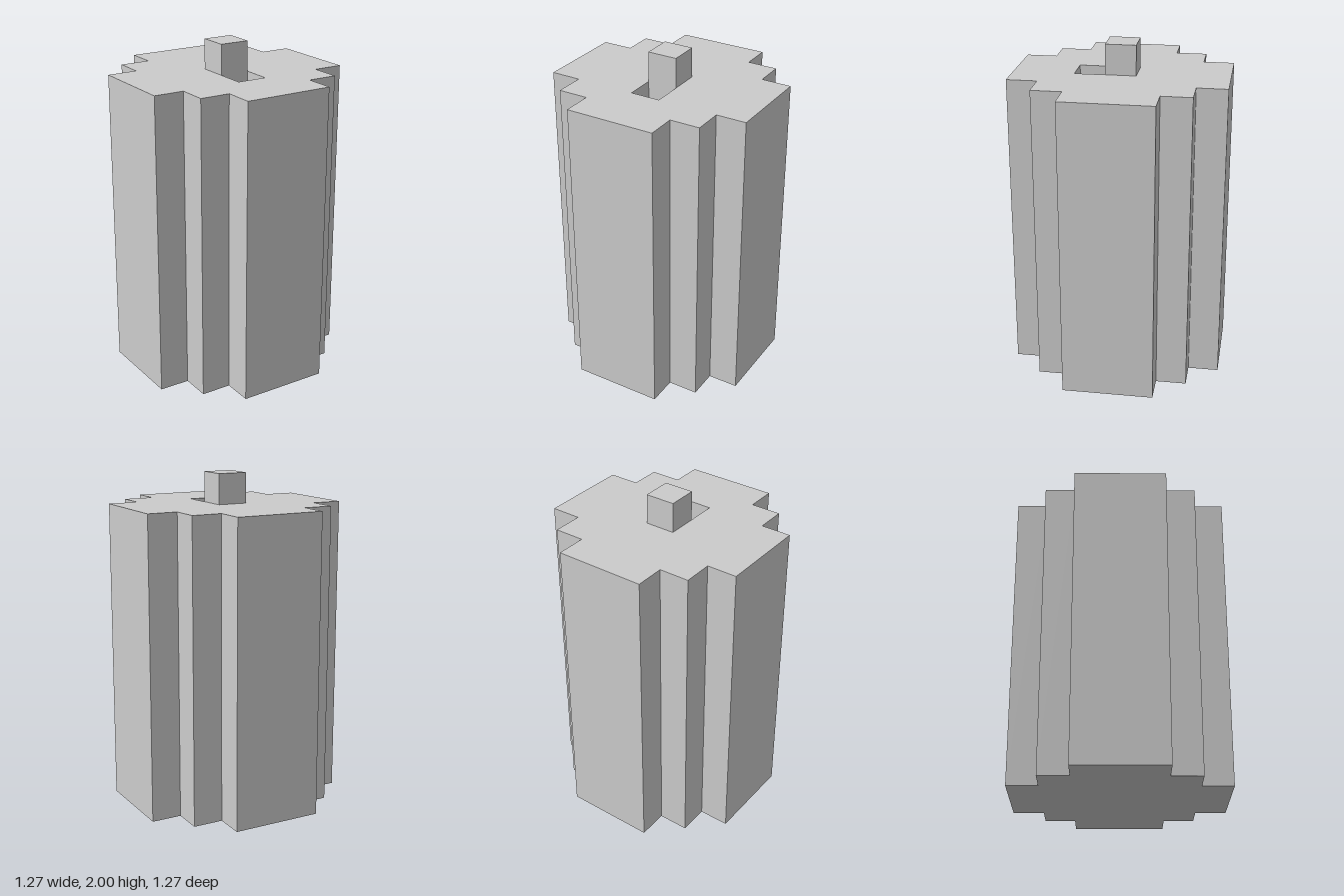
import * as THREE from 'three';
import { mergeGeometries } from 'three/addons/utils/BufferGeometryUtils.js';

const U = 2 / 11; // one block of the grid

// Plan points are [x, -z] in blocks, counter-clockwise from above.
const rect = (x0, z0, x1, z1) => [[x0, -z1], [x1, -z1], [x1, -z0], [x0, -z0]];
const vectors = (pts) => pts.map(([x, y]) => new THREE.Vector2(x * U, y * U));

// Flat face at height y, facing up or down
function cap(pts, y, { hole, down = false } = {}) {
  const shape = new THREE.Shape(vectors(pts));
  if (hole) shape.holes.push(new THREE.Path(vectors(hole)));
  return new THREE.ShapeGeometry(shape)
    .rotateX(down ? Math.PI / 2 : -Math.PI / 2)
    .translate(0, y * U, 0);
}

// Vertical walls along a plan; a reversed plan faces inward
function walls(pts, y0, y1) {
  return mergeGeometries(pts.map(([ax, ay], i) => {
    const [bx, by] = pts[(i + 1) % pts.length];
    const dx = bx - ax, dy = by - ay;
    return new THREE.PlaneGeometry(Math.hypot(dx, dy) * U, (y1 - y0) * U)
      .rotateY(Math.atan2(dy, dx))
      .translate((ax + bx) / 2 * U, (y0 + y1) / 2 * U, -(ay + by) / 2 * U);
  }));
}

export function createModel() {
  const group = new THREE.Group();
  const material = new THREE.MeshStandardMaterial({ color: 0xcccccc, flatShading: true });
  const add = (name, parts) => {
    const mesh = new THREE.Mesh(mergeGeometries(parts), material);
    mesh.name = name;
    group.add(mesh);
  };

  // Stepped round plan: one quarter turned four times
  let quarter = [[3.5, 1.5], [2.5, 1.5], [2.5, 2.5], [1.5, 2.5], [1.5, 3.5]];
  const outline = [];
  for (let i = 0; i < 4; i++) {
    outline.push(...quarter);
    quarter = quarter.map(([x, y]) => [-y, x]);
  }
  const wick = rect(-0.5, -0.5, 0.5, 0.5);
  const pit = rect(-0.5, 0.5, 0.5, 1.5);

  // Wax column, its top open where the wick and pit sit
  add('candleBody', [
    walls(outline, 0, 10),
    cap(outline, 0, { down: true }),
    cap(outline, 10, { hole: rect(-0.5, -0.5, 0.5, 1.5) }),
  ]);

  // One-block hollow in front of the wick
  add('meltedHollow', [walls([...pit].reverse(), 9, 10), cap(pit, 9)]);

  // Wick
  add('wick', [walls(wick, 10, 11), cap(wick, 11)]);

  return group;
}
